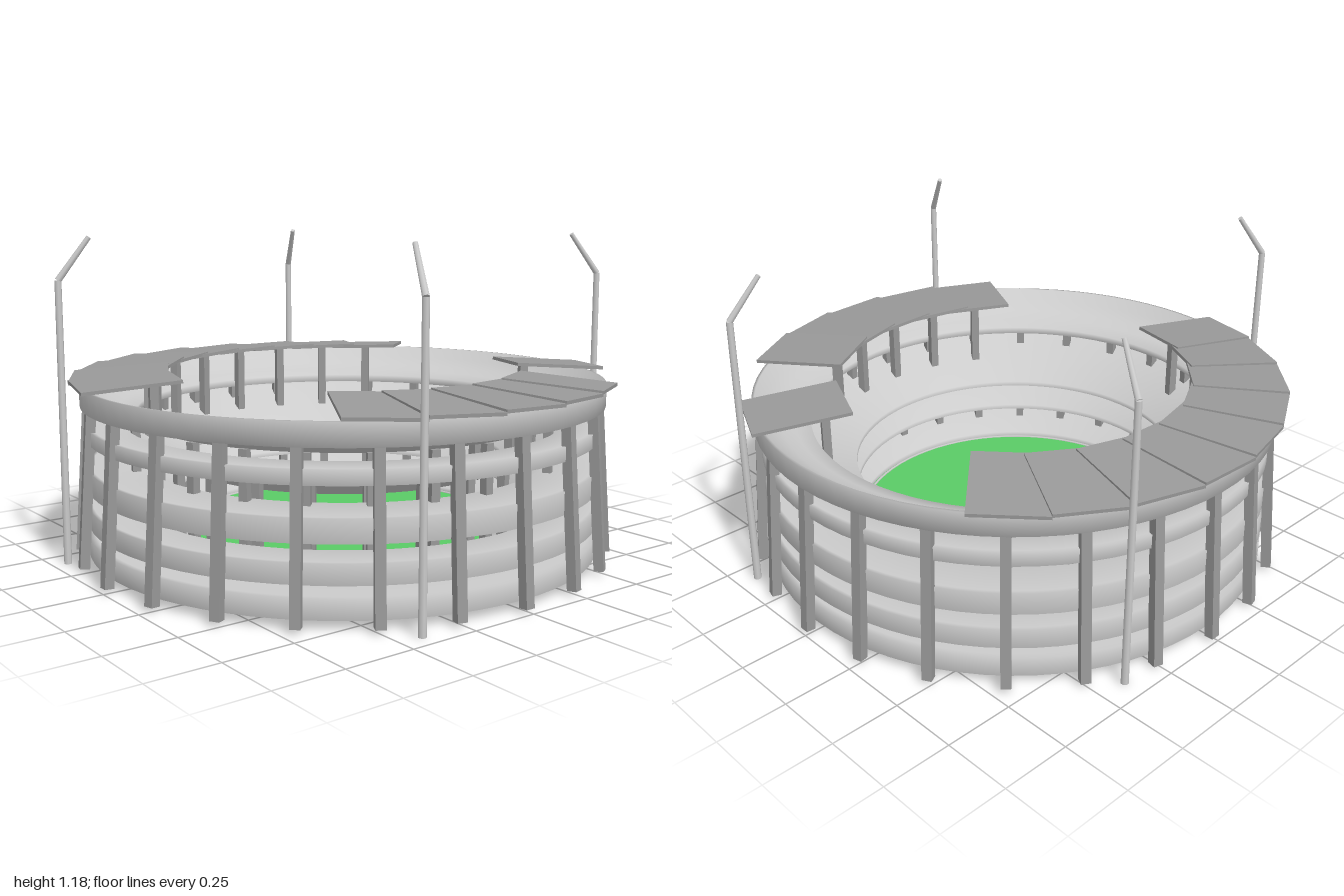
import * as THREE from 'three';

const RAD = Math.PI / 180;
const grey = new THREE.MeshStandardMaterial({ color: 0xcccccc, side: THREE.DoubleSide });
const roofGrey = new THREE.MeshStandardMaterial({ color: 0x999999 });
const columnGrey = new THREE.MeshStandardMaterial({ color: 0x999999 });
const grass = new THREE.MeshStandardMaterial({ color: 0x5acb66 });
const clay = new THREE.MeshStandardMaterial({ color: 0xd8cc8e });

export function createModel() {
  const model = new THREE.Group();

  const add = (name, geometry, material, parent = model) => {
    const mesh = new THREE.Mesh(geometry, material);
    mesh.name = name;
    parent.add(mesh);
    return mesh;
  };

  // Closed smooth ring swept from a [radius, height] cross-section
  const ring = (name, points) => {
    const profile = [...points, points[0]].map(([r, y]) => new THREE.Vector2(r, y));
    return add(name, new THREE.LatheGeometry(profile, 72), grey);
  };

  // Group whose local +x points outward at the given angle (0 = +x, 90 = front)
  const spoke = (name, degrees) => {
    const group = new THREE.Group();
    group.name = name;
    group.rotation.y = -degrees * RAD;
    model.add(group);
    return group;
  };

  // Upright square post between two heights
  const post = (name, parent, radius, bottom, top) => {
    const mesh = add(name, new THREE.BoxGeometry(0.03, top - bottom, 0.03), columnGrey, parent);
    mesh.position.set(radius, (bottom + top) / 2, 0);
  };

  // Playing field with boundary and pitch
  add('field', new THREE.CylinderGeometry(0.67, 0.67, 0.012, 72), grass).position.y = 0.094;
  add('pitch', new THREE.BoxGeometry(0.295, 0.022, 0.072), clay).position.y = 0.094;
  const boundary = add('boundary', new THREE.TorusGeometry(0.594, 0.005, 6, 72), grey);
  boundary.rotation.x = Math.PI / 2;
  boundary.position.y = 0.1;

  // Ground slab with a skirt hanging at its outer edge
  ring('base', [
    [0.665, 0.085], [0.92, 0.085], [0.93, 0.03], [0.945, 0.03],
    [0.945, 0.1], [0.92, 0.098], [0.665, 0.098],
  ]);

  // Three stacked tiers: flat concourse outside, seating sloping down inside.
  // Columns: name, band bottom, band top, inner lip height, concourse inner radius
  for (const [name, low, high, lip, flat] of [
    ['lowerTier', 0.14, 0.21, 0.118, 0.8],
    ['middleTier', 0.27, 0.35, 0.25, 0.75],
    ['clubTier', 0.45, 0.5, 0.36, 0.82],
  ]) {
    ring(name, [
      [0.602, lip - 0.018], [flat, low], [0.93, low], [0.945, low], [0.945, high],
      [0.93, high], [flat, high], [0.602, lip],
    ]);
  }

  // Upper bowl with a curved seating surface
  ring('upperTier', [
    [0.77, 0.515], [0.86, 0.545], [0.92, 0.57], [0.965, 0.57], [0.965, 0.65],
    [0.955, 0.65], [0.92, 0.61], [0.87, 0.58], [0.82, 0.562], [0.76, 0.545],
  ]);

  // Leaning outer columns with two rows of upright columns under the tiers
  const outerColumn = new THREE.BoxGeometry(0.035, 0.56, 0.035);
  for (let i = 0; i < 24; i++) {
    const bay = spoke('columns', i * 15 + 0.6);
    const outer = add('outerColumn', outerColumn, columnGrey, bay);
    outer.position.set(0.96, 0.295, 0);
    outer.rotation.z = 0.07;
    post('rearColumn', bay, 0.785, 0.015, 0.52);
    post('frontColumn', bay, 0.7, 0.015, 0.4);
  }

  // Overlapping roof panels, tilted down toward the outside, each on a post
  const panel = new THREE.BoxGeometry(0.35, 0.012, 0.262);
  const addPanel = (degrees) => {
    const bay = spoke('roof', degrees);
    const mesh = add('roofPanel', panel, roofGrey, bay);
    mesh.position.set(0.82, 0.672, 0);
    mesh.rotation.set(-0.03, 0, -0.07);
    post('roofPost', bay, 0.72, 0.4, 0.675);
  };
  for (let a = -30; a <= 30; a += 15) addPanel(a);
  for (let a = 105; a <= 225; a += 15) addPanel(a);
  addPanel(-66.5);

  // Floodlight masts with arms leaning inward
  const armLength = Math.hypot(0.11, 0.15);
  const mast = new THREE.CylinderGeometry(0.012, 0.014, 1.02, 8);
  const arm = new THREE.CylinderGeometry(0.009, 0.012, armLength, 8);
  for (let i = 0; i < 4; i++) {
    const light = spoke('floodlight', 23.5 + i * 90);
    light.position.set(0.008, 0, 0.01);
    add('mast', mast, grey, light).position.set(1.018, 0.51, 0);
    const head = add('mastArm', arm, grey, light);
    head.position.set(0.963, 1.095, 0);
    head.rotation.z = Math.atan2(0.11, 0.15);
  }

  return model;
}
